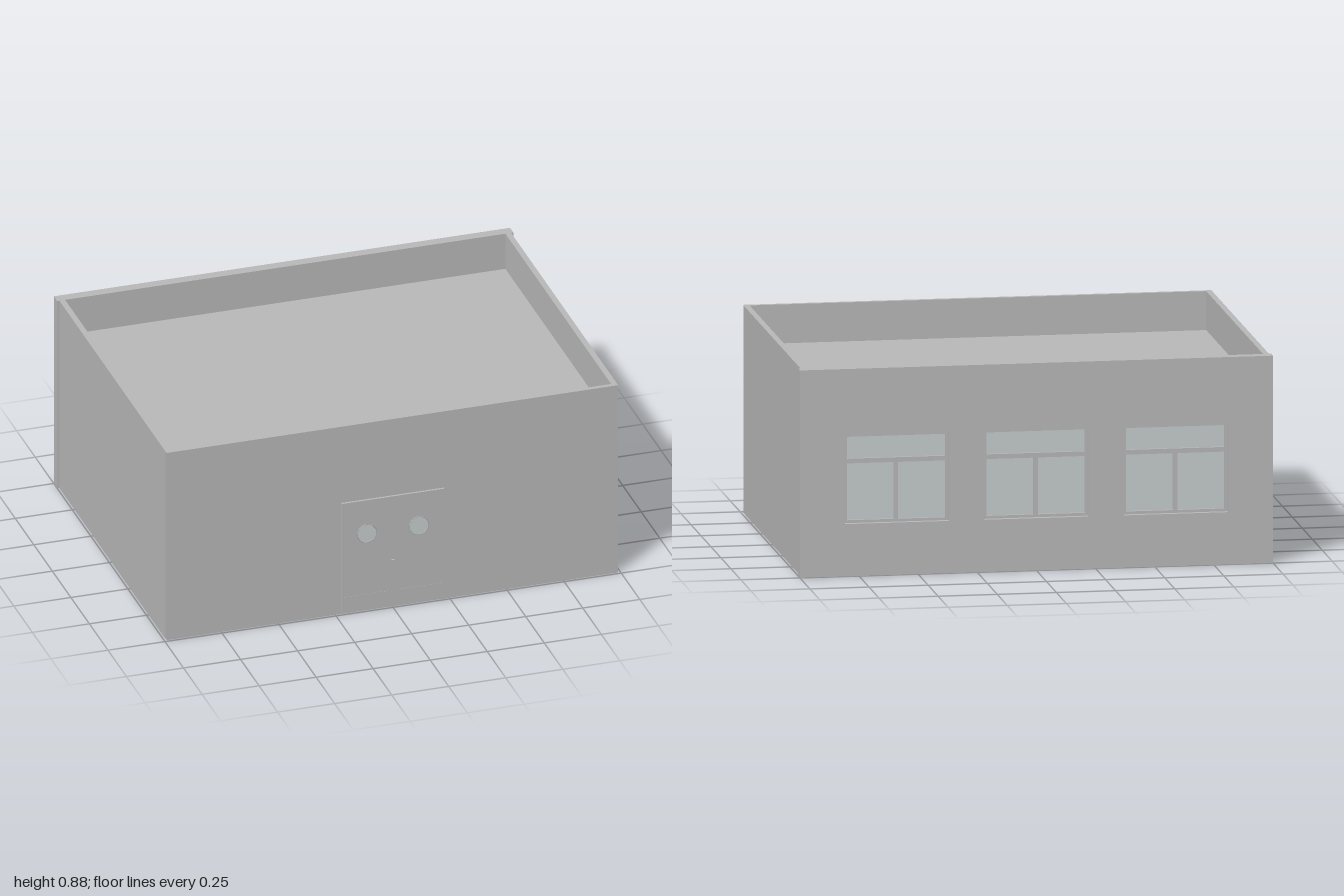
import * as THREE from 'three';

export function createModel() {
  const model = new THREE.Group();
  const wall = new THREE.MeshStandardMaterial({ color: 0xb8b8b8 });
  wall.name = 'wall grey';
  const glass = new THREE.MeshStandardMaterial({ color: 0xc6cece });
  glass.name = 'window glass';

  const add = (name, geometry, material = wall, parent = model) => {
    const mesh = new THREE.Mesh(geometry, material);
    mesh.name = name;
    parent.add(mesh);
    return mesh;
  };
  // box given by its minimum and maximum corners
  const box = (name, x0, x1, y0, y1, z0, z1, material, parent) => {
    const mesh = add(name, new THREE.BoxGeometry(x1 - x0, y1 - y0, z1 - z0), material, parent);
    mesh.position.set((x0 + x1) / 2, (y0 + y1) / 2, (z0 + z1) / 2);
    return mesh;
  };
  const rectangle = (Type, x0, x1, y0, y1) => new Type([
    new THREE.Vector2(x0, y0), new THREE.Vector2(x1, y0),
    new THREE.Vector2(x1, y1), new THREE.Vector2(x0, y1),
  ]);

  const H = 0.88, BACK = -0.75, INNER = -0.705;

  // Side walls, roof deck and floor
  for (const s of [-1, 1]) {
    const mesh = box(s > 0 ? 'leftWall' : 'rightWall', -0.0125, 0.0125, 0, H, INNER, 0.724);
    mesh.position.x = s * 0.9775;
  }
  box('roofDeck', -0.965, 0.965, 0.69, 0.715, INNER, 0.722);
  box('floorSlab', -0.965, 0.965, 0, 0.01, INNER, 0.722);

  // Front wall skin, open at both ends
  const front = box('frontWall', -0.99, 0.99, 0, H, 0.72, 0.74);
  front.geometry.setIndex(Array.from(front.geometry.index.array).slice(12));
  front.geometry.clearGroups();

  // Back wall with three window openings
  const W = 0.22, Y0 = 0.222, Y1 = 0.6;
  const centres = [-0.59, 0, 0.59];
  const backShape = rectangle(THREE.Shape, -1, 1, 0, H);
  for (const c of centres) backShape.holes.push(rectangle(THREE.Path, c - W, c + W, Y0, Y1));
  const backGeometry = new THREE.ExtrudeGeometry(backShape, { depth: INNER - BACK, bevelEnabled: false });
  add('backWall', backGeometry).position.z = BACK;

  // Windows: recessed pane, frame, transom and lower mullion
  for (const c of centres) {
    const g = new THREE.Group();
    g.name = 'backWindow';
    g.position.x = c;
    model.add(g);
    const zf = -0.728, zb = -0.707, t = 0.012;
    box('windowPane', -W, W, Y0, Y1, -0.716, -0.71, glass, g);
    for (const s of [-1, 1]) {
      box('frameSide', s * (W - t / 2) - t / 2, s * (W - t / 2) + t / 2, Y0, Y1, zf, zb, wall, g);
    }
    box('frameTop', -W + t, W - t, Y1 - t, Y1, zf, zb, wall, g);
    box('frameBottom', -W + t, W - t, Y0, Y0 + t, zf, zb, wall, g);
    box('transom', -W + t, W - t, 0.475, 0.495, zf, zb, wall, g);
    box('mullion', -0.009, 0.009, Y0 + t, 0.475, zf, zb, wall, g);
  }

  // Double door: thin projecting frame and two leaves
  const door = new THREE.Group();
  door.name = 'doubleDoor';
  model.add(door);
  for (const s of [-1, 1]) {
    box('doorJamb', s * 0.222 - 0.003, s * 0.222 + 0.003, 0, 0.522, 0.724, 0.75, wall, door);
    const [x0, x1] = s > 0 ? [0.006, 0.219] : [-0.219, -0.006];
    box('doorLeaf', x0, x1, 0.004, 0.515, 0.724, 0.746, wall, door);
    box('kickPlate', x0 + 0.004, x1 - 0.004, 0.01, 0.08, 0.746, 0.747, wall, door);

    // Round porthole with a fine rim
    const pane = add('porthole', new THREE.CircleGeometry(0.041, 24), glass, door);
    pane.position.set(s * 0.114, 0.365, 0.747);
    const rim = add('portholeRim', new THREE.TorusGeometry(0.042, 0.002, 6, 24), wall, door);
    rim.position.set(s * 0.114, 0.365, 0.747);
  }
  box('doorHead', -0.219, 0.219, 0.516, 0.522, 0.724, 0.75, wall, door);
  box('doorLatch', -0.008, 0.008, 0.18, 0.222, 0.74, 0.749, wall, door);

  return model;
}
